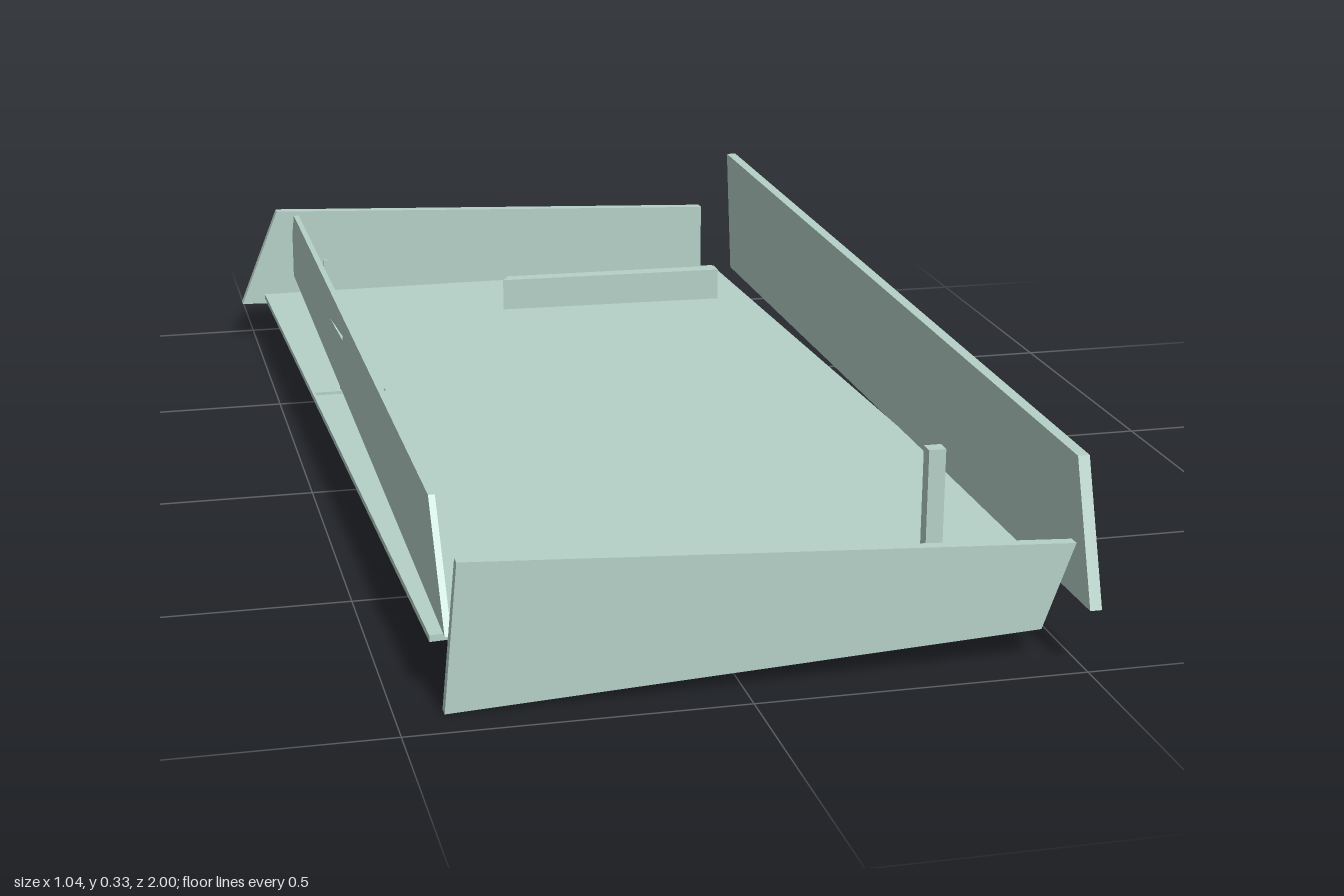
import * as THREE from 'three';

const material = new THREE.MeshStandardMaterial({ color: 0xb5d1c7, flatShading: true });

// Cuts a flat panel from an outline, with optional holes
function panel(outline, depth, holes = []) {
  const toVectors = (pts) => pts.map(([u, v]) => new THREE.Vector2(u, v));
  const shape = new THREE.Shape(toVectors(outline));
  for (const h of holes) shape.holes.push(new THREE.Path(toVectors(h)));
  return new THREE.ExtrudeGeometry(shape, { depth, bevelEnabled: false });
}

// Upright panel facing z, outline in (x, y)
const acrossPanel = (outline, z0, z1) => panel(outline, z1 - z0).translate(0, 0, z0);

// Upright panel facing x, outline in (z, y)
const alongPanel = (outline, x0, x1, holes) =>
  panel(outline, x1 - x0, holes).rotateY(-Math.PI / 2).translate(x1, 0, 0);

// Horizontal slab, outline in (x, z)
const slab = (outline, y0, y1, holes) =>
  panel(outline, y1 - y0, holes).rotateX(Math.PI / 2).translate(0, y1, 0);

// Box given by its two extreme corners
function box([x0, y0, z0], [x1, y1, z1]) {
  return new THREE.BoxGeometry(x1 - x0, y1 - y0, z1 - z0)
    .translate((x0 + x1) / 2, (y0 + y1) / 2, (z0 + z1) / 2);
}

export function createModel() {
  const group = new THREE.Group();
  group.name = 'openTray';
  const add = (name, geometry) => {
    const mesh = new THREE.Mesh(geometry, material);
    mesh.name = name;
    group.add(mesh);
  };

  // Floor with a narrow slot under the thin wall
  add('floor', slab(
    [[-0.48, -0.94], [0.46, -0.95], [0.52, 0.785], [-0.44, 0.88]], 0.088, 0.098,
    [[[-0.46, -0.26], [-0.335, -0.26], [-0.335, -0.244], [-0.46, -0.244]]]));

  // End walls
  add('frontWall', acrossPanel(
    [[-0.43, 0.003], [0.45, 0.05], [0.497, 0.18], [-0.41, 0.228]], 0.922, 0.94));
  add('backWall', acrossPanel(
    [[-0.525, 0.08], [0.43, 0.052], [0.43, 0.23], [-0.45, 0.268]], -0.95, -0.93));

  // Tall side wall
  add('tallSideWall', alongPanel(
    [[1.0, 0.098], [0.925, 0.308], [-0.98, 0.328], [-0.94, 0.094]], 0.498, 0.516));

  // Thin side wall with a wedge-shaped opening; its tip passes through the back wall
  add('thinSideWall', alongPanel(
    [[0.89, 0.098], [0.765, 0.265], [-0.892, 0.267], [-1.0, 0.135]], -0.42, -0.41,
    [[[-0.33, 0.213], [-0.16, 0.23], [-0.225, 0.115], [-0.275, 0.12]]]));

  // Fittings that pass through the floor
  add('innerRib', slab(
    [[-0.015, -0.742], [0.405, -0.73], [0.405, -0.7], [-0.03, -0.715]], 0.07, 0.158));
  add('post', box([0.346, 0.067, 0.7], [0.373, 0.26, 0.724]));
  add('thinRod', box([-0.369, 0.06, -0.849], [-0.361, 0.185, -0.841]));

  return group;
}
